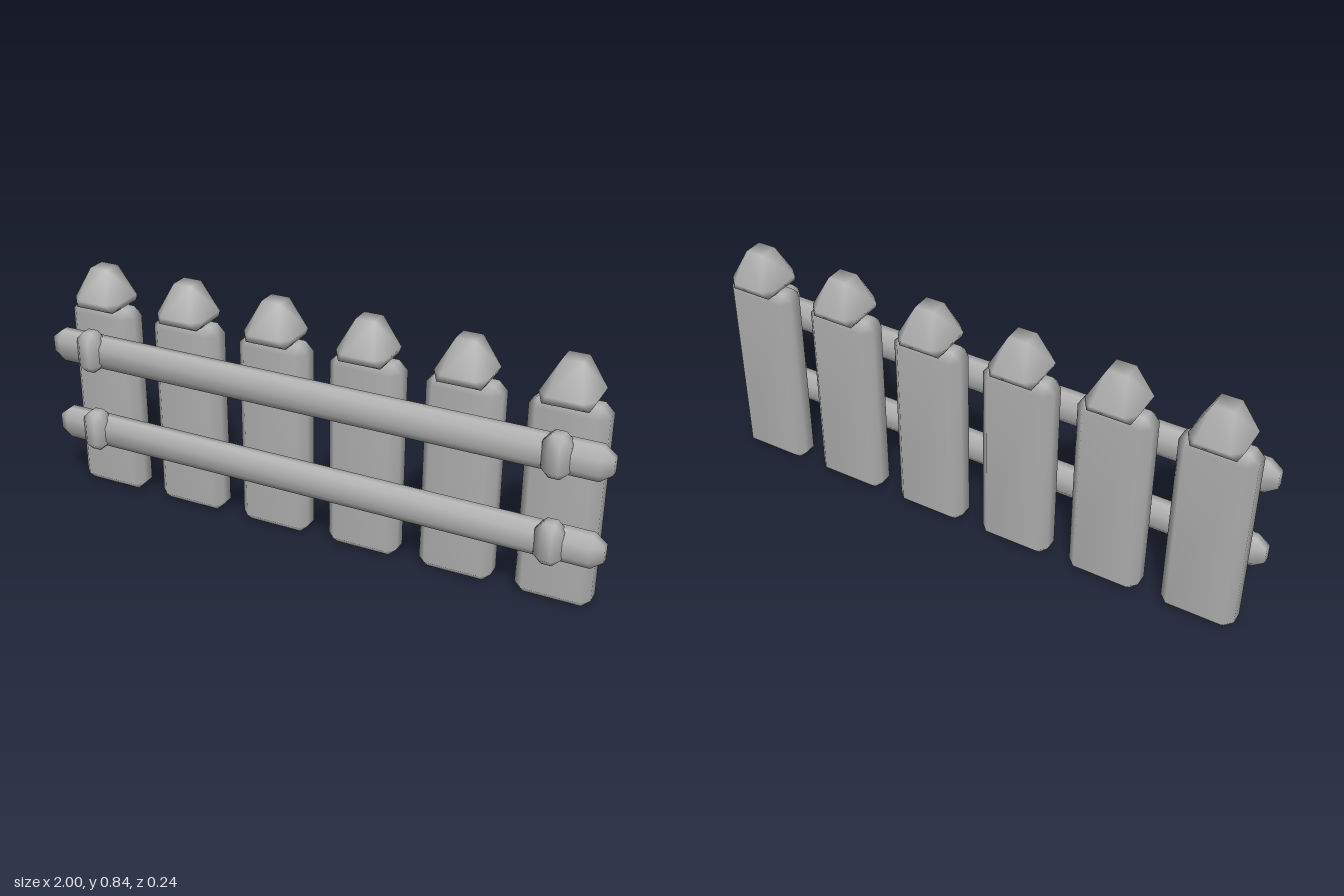
import * as THREE from 'three';
import { ConvexGeometry } from 'three/addons/geometries/ConvexGeometry.js';
import { mergeVertices } from 'three/addons/utils/BufferGeometryUtils.js';

// Smooth-shaded convex solid from a few corner points
function smoothHull(points) {
  const hull = new ConvexGeometry(points);
  hull.deleteAttribute('normal');
  const geometry = mergeVertices(hull, 1e-4);
  geometry.computeVertexNormals();
  return geometry;
}

// Calls fn with every sign combination of the two horizontal axes
function eachCorner(fn) {
  for (const sx of [-1, 1]) for (const sz of [-1, 1]) fn(sx, sz);
}

// Box with half sizes x, y, z and chamfered edges
function chamferBox(x, y, z, bx, by = bx, bz = bx) {
  const points = [];
  eachCorner((sx, sz) => {
    for (const sy of [-1, 1]) {
      points.push(
        new THREE.Vector3(sx * x, sy * (y - by), sz * (z - bz)),
        new THREE.Vector3(sx * (x - bx), sy * y, sz * (z - bz)),
        new THREE.Vector3(sx * (x - bx), sy * (y - by), sz * z)
      );
    }
  });
  return smoothHull(points);
}

// Pointed cap: square foot, eight-sided rim, small square top
function capGeometry() {
  const points = [];
  eachCorner((sx, sz) => {
    points.push(
      new THREE.Vector3(sx * 0.073, 0, sz * 0.073),
      new THREE.Vector3(sx * 0.089, 0.03, sz * 0.055),
      new THREE.Vector3(sx * 0.055, 0.03, sz * 0.089),
      new THREE.Vector3(sx * 0.033, 0.136, sz * 0.033)
    );
  });
  return smoothHull(points);
}

export function createModel() {
  const group = new THREE.Group();
  const grey = new THREE.MeshStandardMaterial({ color: 0xb0b0b0 });
  grey.name = 'plainGrey';

  const add = (name, geometry, x, y, z) => {
    const mesh = new THREE.Mesh(geometry, grey);
    mesh.name = name;
    mesh.position.set(x, y, z);
    group.add(mesh);
  };

  // Six pickets with caps
  const picket = chamferBox(0.126, 0.35, 0.053, 0.03);
  const cap = capGeometry();
  for (let i = 0; i < 6; i++) {
    const x = (i - 2.5) * 0.333 - 0.003;
    add('picket', picket, x, 0.351, -0.031);
    add('cap', cap, x, 0.701, -0.031);
  }

  // Two rails, each tied with two knots
  const rail = chamferBox(1, 0.058, 0.039, 0.04, 0.032, 0.025);
  const knot = chamferBox(0.045, 0.073, 0.046, 0.028);
  for (const y of [0.256, 0.558]) {
    add('rail', rail, 0, y, 0.056);
    for (const x of [-0.837, 0.83]) add('knot', knot, x, y + 0.005, 0.076);
  }
  return group;
}
